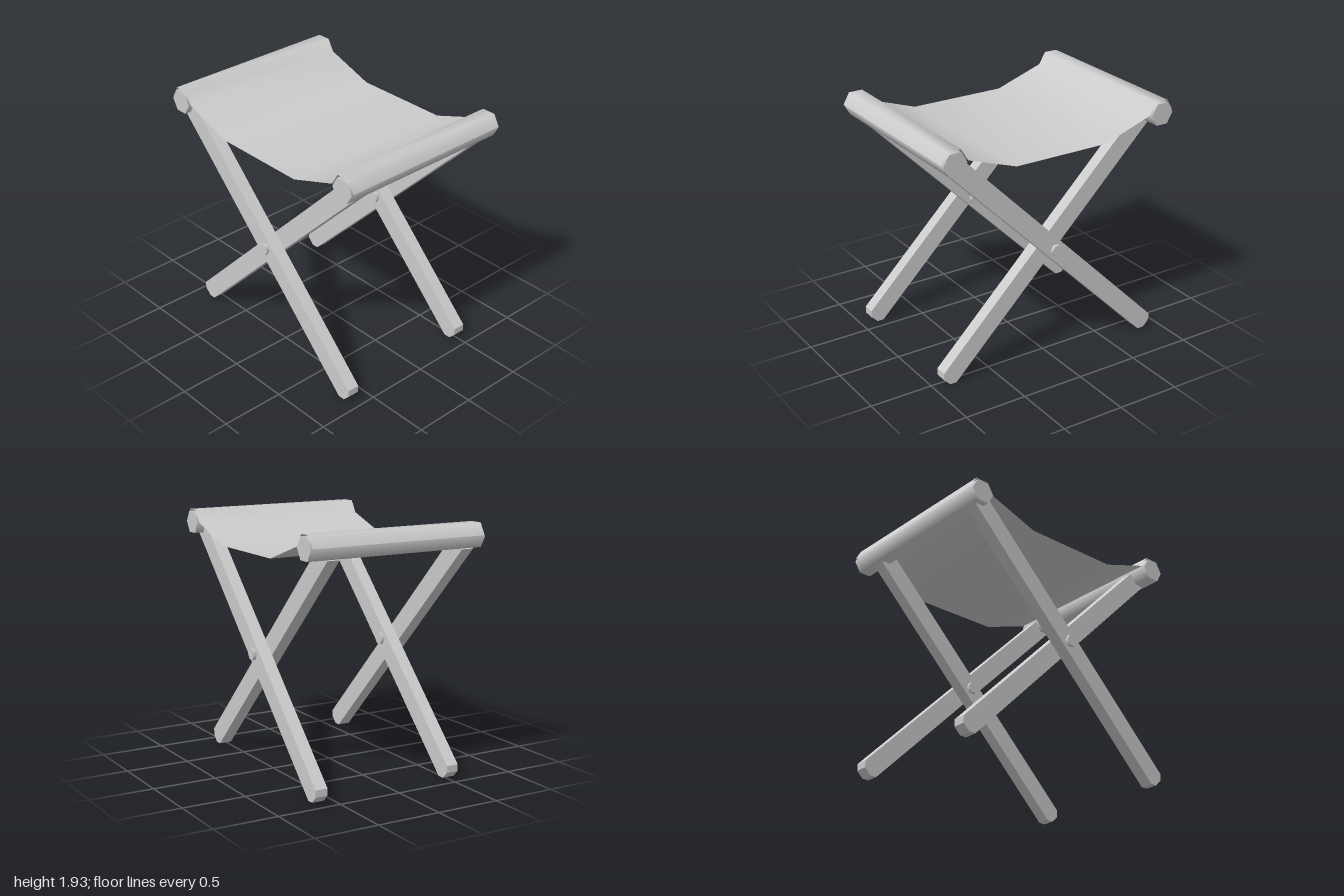
import * as THREE from 'three';

const material = new THREE.MeshStandardMaterial({ color: 0xcccccc });
const clothMaterial = new THREE.MeshStandardMaterial({ color: 0xcccccc, side: THREE.DoubleSide });

const RAIL_X = 0.895, RAIL_Y = 1.83, PIVOT_Y = 0.922;

// Hexagonal rod along z, with corners pointing to the sides
function hexRod(name, radius, length, x, y, z) {
  const geometry = new THREE.CylinderGeometry(radius, radius, length, 6);
  geometry.rotateY(Math.PI / 6).rotateX(Math.PI / 2);
  const mesh = new THREE.Mesh(geometry, material);
  mesh.name = name;
  mesh.position.set(x, y, z);
  return mesh;
}

// Square bar with a chamfered foot, crossing the pivot at 45 degrees;
// footSide is the side (+1 or -1 in x) on which the foot stands
function leg(name, footSide, z) {
  const w = 0.074, top = 1.225, foot = 1.265, c = 0.038, depth = 0.099;
  const shape = new THREE.Shape([
    [-w, top], [-w, -foot + c], [-w + c, -foot],
    [w - c, -foot], [w, -foot + c], [w, top],
  ].map(([x, y]) => new THREE.Vector2(x, y)));
  const geometry = new THREE.ExtrudeGeometry(shape, { depth, bevelEnabled: false });
  geometry.translate(0, 0, -depth / 2);
  const mesh = new THREE.Mesh(geometry, material);
  mesh.name = name;
  mesh.position.set(0, PIVOT_Y, z);
  mesh.rotation.z = footSide * Math.PI / 4;
  return mesh;
}

// Thin cloth draped over both rails and sagging between them
function seatCloth() {
  const half = [[-1, 1.84], [-0.95, 1.928], [-0.84, 1.928], [-0.785, 1.835], [-0.39, 1.7]];
  const profile = [...half, ...half.map(([x, y]) => [-x, y]).reverse()];
  const geometry = new THREE.PlaneGeometry(1, 1.44, profile.length - 1, 1);
  const pos = geometry.attributes.position;
  for (let i = 0; i < pos.count; i++) {
    const [x, y] = profile[i % profile.length];
    pos.setXYZ(i, x, y, -pos.getY(i));
  }
  geometry.computeVertexNormals();
  const mesh = new THREE.Mesh(geometry, clothMaterial);
  mesh.name = 'seatCloth';
  return mesh;
}

export function createModel() {
  const stool = new THREE.Group();
  stool.name = 'foldingStool';

  // Top rails
  stool.add(hexRod('leftRail', 0.096, 1.462, RAIL_X, RAIL_Y, 0));
  stool.add(hexRod('rightRail', 0.096, 1.462, -RAIL_X, RAIL_Y, 0));

  // Crossed leg pairs, each joined by a pivot bolt
  for (const [end, outerZ, innerZ] of [['front', 0.63, 0.53], ['back', -0.509, -0.608]]) {
    stool.add(leg(end + 'LeftFootLeg', 1, outerZ));
    stool.add(leg(end + 'RightFootLeg', -1, innerZ));
    stool.add(hexRod(end + 'PivotBolt', 0.047, 0.25, 0, PIVOT_Y, (outerZ + innerZ) / 2));
  }

  stool.add(seatCloth());
  return stool;
}
